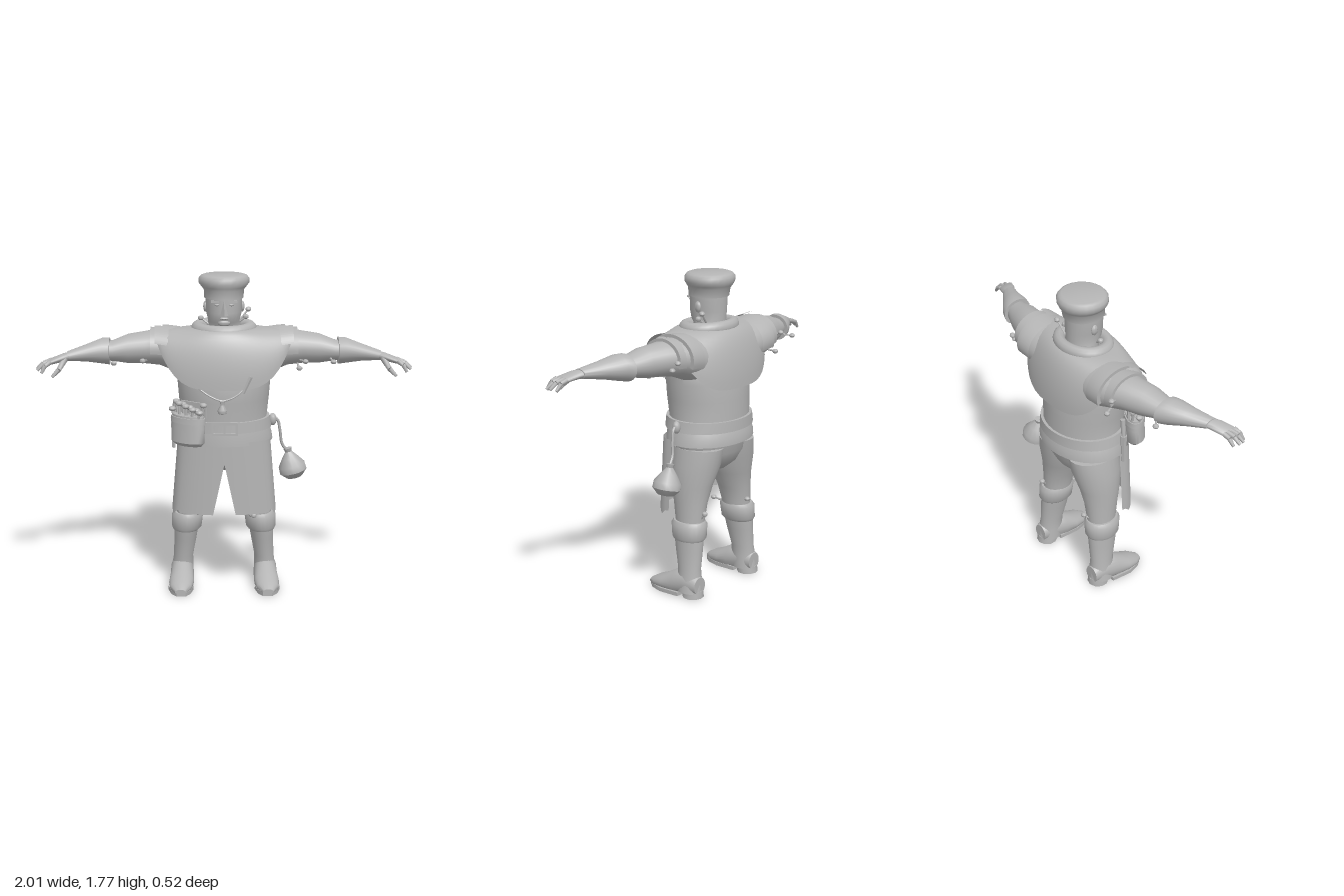
import * as THREE from 'three';
import { toCreasedNormals } from 'three/addons/utils/BufferGeometryUtils.js';

const V = (x, y, z) => new THREE.Vector3(x, y, z);
const lerp = THREE.MathUtils.lerp;

// Grid surface from a rule f(u, v) -> [x, y, z]
function surface(f, nu, nv) {
  const pos = [], idx = [];
  for (let j = 0; j <= nv; j++) for (let i = 0; i <= nu; i++) pos.push(...f(i / nu, j / nv));
  for (let j = 0; j < nv; j++) for (let i = 0; i < nu; i++) {
    const a = j * (nu + 1) + i, b = a + 1, c = a + nu + 1, d = c + 1;
    idx.push(a, b, d, a, d, c);
  }
  const g = new THREE.BufferGeometry();
  g.setAttribute('position', new THREE.Float32BufferAttribute(pos, 3));
  g.setIndex(idx);
  return g;
}

// Loft through elliptical sections [x, y, z, r1, r2], ordered along +axis.
// Radii: axis y -> (x, z), axis x -> (z, y), axis z -> (y, x)
function loft(axis, secs, { from = 0, to = Math.PI * 2, caps = true, n = 24 } = {}) {
  const s = caps ? [[...secs[0].slice(0, 3), 0, 0], ...secs, [...secs.at(-1).slice(0, 3), 0, 0]] : secs;
  const rows = s.length - 1;
  return surface((u, v) => {
    const [x, y, z, r1, r2] = s[Math.round(v * rows)];
    const a = lerp(from, to, u), p = r1 * Math.sin(a), q = r2 * Math.cos(a);
    return axis === 'y' ? [x + p, y, z + q] : axis === 'x' ? [x, y + q, z + p] : [x + q, y + p, z];
  }, n, rows);
}

// Tapered rod between two points
function rod(a, b, r0, r1 = r0, n = 8) {
  const d = b.clone().sub(a);
  const g = new THREE.CylinderGeometry(r1, r0, d.length(), n);
  g.applyQuaternion(new THREE.Quaternion().setFromUnitVectors(V(0, 1, 0), d.clone().normalize()));
  return g.translate(...a.clone().add(b).multiplyScalar(0.5).toArray());
}
const ball = (x, y, z, sx, sy, sz) => new THREE.SphereGeometry(1, 14, 10).scale(sx, sy, sz).translate(x, y, z);
const box = (w, h, d, x, y, z) => new THREE.BoxGeometry(w, h, d).translate(x, y, z);
const tube = (pts, r) => new THREE.TubeGeometry(new THREE.CatmullRomCurve3(pts.map(p => V(...p))), 20, r, 6);

function mirrored(geo) {
  const g = geo.index ? geo.toNonIndexed() : geo.clone();
  g.scale(-1, 1, 1);
  const p = g.attributes.position, a = V(0, 0, 0), b = V(0, 0, 0);
  for (let i = 0; i < p.count; i += 3) {
    a.fromBufferAttribute(p, i + 1); b.fromBufferAttribute(p, i + 2);
    p.setXYZ(i + 1, b.x, b.y, b.z); p.setXYZ(i + 2, a.x, a.y, a.z);
  }
  return g;
}

export function createModel() {
  const group = new THREE.Group();
  const grey = new THREE.MeshStandardMaterial({ color: 0xb4b4b4, side: THREE.DoubleSide });
  grey.name = 'plain grey';
  const add = (name, geo, parent = group) => {
    const m = new THREE.Mesh(toCreasedNormals(geo, 0.8), grey);
    m.name = name;
    parent.add(m);
  };
  const both = (name, geo) => { add(name + 'Left', geo); add(name + 'Right', mirrored(geo)); };

  // Head, face and hat
  add('head', loft('y', [[0, 1.42, -0.03, 0.095, 0.09], [0, 1.5, -0.03, 0.09, 0.09], [0, 1.52, -0.02, 0.085, 0.1],
    [0, 1.57, -0.018, 0.097, 0.103], [0, 1.67, -0.02, 0.1, 0.103]]));
  add('nose', new THREE.ConeGeometry(0.022, 0.085, 4).scale(1, 1, 1.3).translate(0, 1.603, 0.088));
  add('mouth', ball(0, 1.545, 0.079, 0.025, 0.007, 0.01));
  add('chin', ball(0, 1.52, 0.066, 0.035, 0.02, 0.02));
  both('brow', box(0.045, 0.01, 0.02, 0.04, 1.634, 0.072).rotateY(0.1));
  both('eye', ball(0.037, 1.617, 0.071, 0.015, 0.007, 0.012));
  both('ear', ball(0.1, 1.595, -0.03, 0.012, 0.03, 0.02));
  add('hat', loft('y', [[0, 1.645, -0.02, 0.106, 0.113], [0, 1.69, -0.024, 0.109, 0.117], [0, 1.705, -0.026, 0.122, 0.127],
    [0, 1.725, -0.027, 0.137, 0.135], [0, 1.75, -0.028, 0.137, 0.135], [0, 1.765, -0.028, 0.125, 0.123], [0, 1.77, -0.028, 0.11, 0.11]]));

  // Torso, tunic hem, belt and buckle
  add('torso', loft('y', [[0, 0.9, -0.025, 0.255, 0.205], [0, 1.0, -0.025, 0.237, 0.205], [0, 1.1, -0.018, 0.247, 0.208],
    [0, 1.2, -0.015, 0.255, 0.208], [0, 1.35, -0.02, 0.26, 0.175], [0, 1.45, -0.02, 0.16, 0.12]], { n: 32 }));
  add('tunicHem', loft('y', [[0, 0.86, -0.03, 0.27, 0.215], [0, 0.9, -0.03, 0.264, 0.214], [0, 0.94, -0.025, 0.25, 0.205]], { n: 32 }));
  add('belt', loft('y', [[0, 0.935, -0.025, 0.264, 0.222], [0, 0.995, -0.025, 0.253, 0.22]], { n: 32 }));
  for (const y of [0.935, 0.995]) add('buckleBar', box(0.14, 0.012, 0.02, 0, y, 0.2));
  for (const x of [-0.065, 0, 0.065]) add('buckleBar', box(0.012, 0.07, 0.02, x, 0.965, 0.2));

  // Shoulder mantle with hem raised over the arms, and thick neck roll
  const mantle = grow => surface((u, v) => {
    const a = u * Math.PI * 2, s = Math.sin(a), c = Math.cos(a), t = v * Math.PI / 2;
    const r = Math.sin(t), drop = 1 - Math.cos(t), s4 = Math.abs(s) ** 4;
    const cc = Math.sign(c) * Math.abs(c) ** 0.8;
    const zEnd = c > 0 ? 0.2 : 0.255;
    return [lerp(0.15, 0.375 + grow, r) * s, lerp(1.485, 1.175 + 0.275 * s4, drop),
      lerp(-0.02 + 0.13 * c, (zEnd + grow) * cc, r)];
  }, 48, 12);
  add('mantle', mantle(0));
  add('mantleLining', mantle(-0.012));
  add('collar', new THREE.TorusGeometry(0.142, 0.037, 12, 32).rotateX(Math.PI / 2).scale(1, 1, 0.84)
    .rotateX(0.06).translate(0, 1.478, -0.022));

  // Arms, shoulder layers and flared cuffs
  both('upperArm', loft('x', [[0.12, 1.33, -0.035, 0.15, 0.13], [0.25, 1.355, -0.055, 0.15, 0.125], [0.35, 1.37, -0.06, 0.125, 0.1],
    [0.43, 1.37, -0.04, 0.1, 0.088], [0.52, 1.367, -0.018, 0.088, 0.08], [0.6, 1.36, 0.003, 0.07, 0.057], [0.66, 1.36, 0.02, 0.06, 0.05]]));
  both('cuff', loft('x', [[0.62, 1.358, 0.008, 0.088, 0.073], [0.66, 1.362, 0.02, 0.083, 0.069], [0.74, 1.358, 0.058, 0.062, 0.047],
    [0.84, 1.35, 0.11, 0.04, 0.025]]));
  const arc = { from: -1.9, to: 1.75, caps: false };
  both('shoulderLayerInner', loft('x', [[0.24, 1.355, -0.05, 0.155, 0.125], [0.3, 1.365, -0.055, 0.158, 0.122], [0.335, 1.365, -0.055, 0.155, 0.125], [0.335, 1.365, -0.055, 0.13, 0.105]], arc));
  both('shoulderLayerOuter', loft('x', [[0.32, 1.365, -0.055, 0.13, 0.107], [0.4, 1.37, -0.05, 0.127, 0.108], [0.4, 1.37, -0.05, 0.105, 0.09]], arc));
  both('shoulderFlap', loft('x', [[0.3, 1.37, -0.05, 0.16, 0.122], [0.375, 1.38, -0.05, 0.145, 0.118]], { from: 0.25, to: 1.3, caps: false }));

  // Hands
  both('palm', loft('x', [[0.81, 1.352, 0.1, 0.034, 0.024], [0.86, 1.345, 0.125, 0.044, 0.022], [0.92, 1.33, 0.15, 0.046, 0.017], [0.935, 1.325, 0.155, 0.04, 0.01]]));
  const tips = [[0.985, 1.285, 0.125], [1.0, 1.29, 0.155], [0.995, 1.287, 0.185], [0.97, 1.277, 0.212]];
  tips.forEach((tip, i) => {
    const base = V(0.922, 1.332, 0.117 + i * 0.023), end = V(...tip);
    const mid = base.clone().lerp(end, 0.5).add(V(0.004, 0.01, 0));
    both('fingerBase', rod(base, mid, 0.013, 0.012));
    both('fingerTip', rod(mid, end, 0.012, 0.008));
  });
  both('thumbBase', rod(V(0.85, 1.34, 0.145), V(0.88, 1.29, 0.19), 0.017, 0.013));
  both('thumbTip', rod(V(0.88, 1.29, 0.19), V(0.915, 1.255, 0.205), 0.013, 0.008));

  // Trousers
  add('hips', loft('y', [[0, 0.69, -0.045, 0.06, 0.08], [0, 0.73, -0.04, 0.17, 0.13], [0, 0.8, -0.04, 0.238, 0.165], [0, 0.9, -0.035, 0.25, 0.19]]));
  both('trouserLeg', loft('y', [[0.2, 0.36, -0.06, 0.07, 0.08], [0.195, 0.45, -0.055, 0.073, 0.09], [0.185, 0.53, -0.05, 0.083, 0.1],
    [0.165, 0.63, -0.045, 0.105, 0.12], [0.14, 0.74, -0.05, 0.125, 0.145], [0.125, 0.84, -0.055, 0.12, 0.155]]));

  // Split front apron
  both('apronPanel', surface((u, v) => {
    const y = lerp(0.88, 0.47 + 0.015 * Math.cos(u * 19) * (u > 0.6 ? 1 : 0), v);
    const rx = lerp(0.255, 0.288, v), inner = 0.062 * Math.max(0, (0.76 - y) / 0.29);
    const a = lerp(Math.asin(inner / rx), Math.PI / 2, u);
    return [rx * Math.sin(a), y, 0.02 + 0.15 * Math.max(0, Math.cos(a)) ** 0.65];
  }, 20, 10));

  // Boots
  both('bootCuff', loft('y', [[0.213, 0.325, -0.062, 0.074, 0.094], [0.21, 0.34, -0.062, 0.084, 0.103], [0.205, 0.41, -0.058, 0.088, 0.107], [0.202, 0.43, -0.057, 0.077, 0.096]]));
  both('bootShaft', loft('y', [[0.237, 0.03, -0.09, 0.066, 0.075], [0.234, 0.1, -0.085, 0.06, 0.073], [0.23, 0.16, -0.08, 0.055, 0.07],
    [0.218, 0.27, -0.068, 0.063, 0.084], [0.21, 0.36, -0.06, 0.07, 0.092]]));
  const foot = loft('z', [[0.237, 0.07, -0.16, 0.05, 0.045], [0.237, 0.08, -0.08, 0.08, 0.064], [0.237, 0.06, 0, 0.075, 0.066],
    [0.24, 0.045, 0.07, 0.05, 0.07], [0.243, 0.035, 0.13, 0.035, 0.06], [0.245, 0.025, 0.18, 0.015, 0.03]]);
  const fp = foot.attributes.position;
  for (let i = 0; i < fp.count; i++) fp.setY(i, Math.max(fp.getY(i), 0.018));
  both('foot', foot);
  const sole = new THREE.Shape([[-0.06, 0.05], [0.06, 0.05], [0.072, -0.07], [0.055, -0.14], [0.025, -0.18], [-0.025, -0.18],
    [-0.052, -0.14], [-0.068, -0.07]].map(p => new THREE.Vector2(...p)));
  both('sole', new THREE.ExtrudeGeometry(sole, { depth: 0.022, bevelEnabled: false }).rotateX(-Math.PI / 2)
    .scale(1, 1, 1).translate(0.241, 0, 0));
  both('heel', new THREE.CylinderGeometry(0.056, 0.06, 0.04, 10).translate(0.237, 0.02, -0.112));

  // Herb pouch on the right hip, filled with mushrooms
  const pouch = new THREE.Group();
  pouch.name = 'herbPouch';
  pouch.position.set(-0.195, 0.875, 0.175);
  pouch.rotation.y = -0.65;
  group.add(pouch);
  add('pouchBody', loft('y', [[0, 0, 0, 0.085, 0.045], [0, 0.02, 0.005, 0.104, 0.058], [0, 0.1, 0, 0.106, 0.056], [0, 0.165, 0, 0.1, 0.048]]), pouch);
  add('pouchBack', box(0.17, 0.08, 0.012, 0.01, 0.19, -0.035), pouch);
  add('pouchBand', loft('y', [[0, 0.125, 0, 0.11, 0.06], [0, 0.155, 0, 0.108, 0.056]]), pouch);
  for (let i = 0; i < 10; i++) {
    const x = -0.08 + (i % 5) * 0.04, z = i < 5 ? 0.02 : -0.015, h = 0.19 + 0.035 * ((i * 7) % 4) / 3;
    add('stalk', rod(V(x, 0.14, z), V(x * 1.15, h, z), 0.008), pouch);
    add('cap', ball(x * 1.15, h, z, 0.02, 0.014, 0.02), pouch);
  }

  // Sheathed knife behind the pouch
  add('knifeSheath', rod(V(-0.277, 0.82, 0.03), V(-0.275, 0.99, 0.03), 0.01, 0.02, 6));
  add('knifeHandle', rod(V(-0.275, 0.99, 0.03), V(-0.265, 1.09, 0.03), 0.012, 0.014));

  // Drawstring bag hanging on the left hip
  add('bagString', tube([[0.255, 0.97, -0.025], [0.295, 0.965, -0.03], [0.312, 0.9, -0.035], [0.325, 0.82, -0.045], [0.365, 0.765, -0.055]], 0.008));
  add('bagKnot', ball(0.27, 0.965, -0.025, 0.022, 0.035, 0.022));
  const bag = [[0, 0], [0.045, 0.006], [0.078, 0.04], [0.076, 0.075], [0.045, 0.12], [0.018, 0.155], [0.024, 0.175], [0, 0.175]];
  add('bag', new THREE.LatheGeometry(bag.map(p => new THREE.Vector2(...p)), 14).rotateZ(0.25).translate(0.4, 0.62, -0.06));

  // Necklace with flask pendant, and a small pin at the mantle edge
  add('necklace', tube([[-0.15, 1.19, 0.165], [-0.08, 1.145, 0.192], [-0.01, 1.12, 0.2], [0.07, 1.15, 0.195], [0.13, 1.21, 0.175]], 0.005));
  add('pendant', new THREE.LatheGeometry([[0, 0], [0.022, 0.008], [0.026, 0.025], [0.01, 0.055], [0.014, 0.075], [0, 0.078]]
    .map(p => new THREE.Vector2(...p)), 12).translate(-0.012, 1.045, 0.208));
  add('pin', rod(V(0.1, 1.16, 0.2), V(0.14, 1.25, 0.195), 0.008, 0.012, 5));

  // Little mushrooms sprouting on neck, arms and knees: base, then tip
  const sprouts = [
    [-0.08, 1.5, 0.0, -0.125, 1.535, -0.01], [0.08, 1.5, -0.08, 0.135, 1.57, -0.09], [0.08, 1.5, -0.06, 0.12, 1.535, -0.05],
    [-0.4, 1.36, -0.12, -0.42, 1.39, -0.185], [-0.36, 1.3, -0.13, -0.38, 1.29, -0.18], [-0.42, 1.31, 0.03, -0.44, 1.315, 0.075],
    [-0.6, 1.33, -0.04, -0.65, 1.32, -0.09], [-0.59, 1.32, 0.0, -0.6, 1.29, 0.01],
    [0.4, 1.36, -0.12, 0.42, 1.37, -0.175], [0.38, 1.32, -0.12, 0.435, 1.33, -0.15], [0.41, 1.31, 0.03, 0.44, 1.31, 0.08],
    [0.4, 1.29, 0.0, 0.41, 1.265, 0.04], [0.57, 1.33, 0.04, 0.59, 1.31, 0.09],
    [-0.15, 0.43, 0.02, -0.115, 0.45, 0.04], [0.15, 0.42, 0.03, 0.13, 0.45, 0.05], [0.16, 0.42, 0.03, 0.165, 0.435, 0.065],
    [0.2, 0.44, -0.13, 0.2, 0.485, -0.165], [-0.2, 0.44, -0.13, -0.17, 0.47, -0.16]];
  for (const s of sprouts) {
    const a = V(...s.slice(0, 3)), b = V(...s.slice(3));
    add('sproutStem', rod(a, b, 0.006, 0.005, 6));
    add('sproutCap', ball(b.x, b.y, b.z, 0.016, 0.013, 0.016));
  }
  return group;
}
